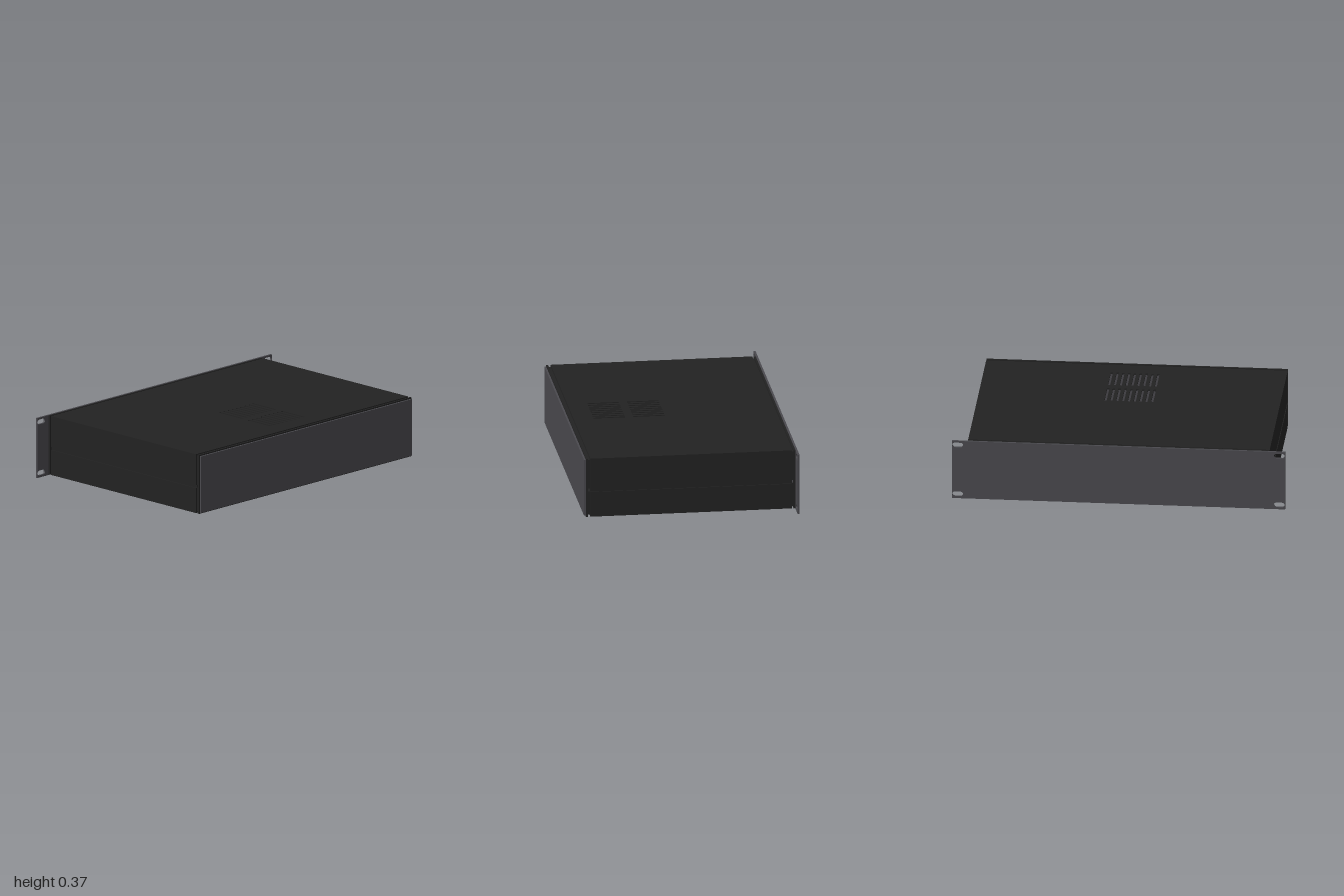
import * as THREE from 'three';

export function createModel() {
  const model = new THREE.Group();
  const black = new THREE.MeshStandardMaterial({ color: 0x222222 });
  black.name = 'black steel';
  const grey = new THREE.MeshStandardMaterial({ color: 0x4a494e });
  grey.name = 'grey panel';

  function add(name, geometry, material, parent = model) {
    const mesh = new THREE.Mesh(geometry, material);
    mesh.name = name;
    parent.add(mesh);
    return mesh;
  }
  // box given by its limits on each axis
  function box(name, [x0, x1], [y0, y1], [z0, z1], material = black, parent = model) {
    const mesh = add(name, new THREE.BoxGeometry(x1 - x0, y1 - y0, z1 - z0), material, parent);
    mesh.position.set((x0 + x1) / 2, (y0 + y1) / 2, (z0 + z1) / 2);
    return mesh;
  }
  function rectangle(Type, x0, x1, y0, y1) {
    return new Type([[x0, y0], [x1, y0], [x1, y1], [x0, y1]].map(p => new THREE.Vector2(...p)));
  }
  function slot(cx, cy, length, height) {
    const r = height / 2, h = length / 2 - r;
    const path = new THREE.Path();
    path.absarc(cx + h, cy, r, -Math.PI / 2, Math.PI / 2);
    path.absarc(cx - h, cy, r, Math.PI / 2, Math.PI * 1.5);
    path.closePath();
    return path;
  }
  const extrude = (shape, depth) =>
    new THREE.ExtrudeGeometry(shape, { depth, bevelEnabled: false, curveSegments: 8 });

  // top cover with two banks of ventilation slots
  const top = rectangle(THREE.Shape, -0.905, 0.905, -0.605, 0.612);
  for (const z of [0.15, 0.39]) {
    for (let i = 0; i < 9; i++) {
      const x = -0.14 + i * 0.035;
      top.holes.push(rectangle(THREE.Path, x - 0.007, x + 0.007, -z - 0.095, -z + 0.095));
    }
  }
  const cover = add('topCover', extrude(top, 0.01).rotateX(-Math.PI / 2), black);
  cover.position.y = 0.36;

  // base and the two halves of each side wall, with a recessed seam strip
  const bodyZ = [-0.612, 0.605];
  box('basePlate', [-0.905, 0.905], [0.005, 0.015], bodyZ);
  for (const side of [-1, 1]) {
    const span = (a, b) => (side > 0 ? [a, b] : [-b, -a]);
    box('upperSideWall', span(0.895, 0.905), [0.178, 0.36], bodyZ);
    box('lowerSideWall', span(0.895, 0.905), [0.015, 0.16], bodyZ);
    box('seamStrip', span(0.89, 0.898), [0.16, 0.178], bodyZ);
  }

  // inset flanges and outer lip at both ends, open at the side seams
  for (const end of [-1, 1]) {
    const frame = new THREE.Group();
    frame.name = 'endFrame';
    model.add(frame);
    const span = (a, b) => (end > 0 ? [a, b] : [-b, -a]);
    const neck = span(0.595, 0.625);
    box('upperFlange', [-0.893, 0.893], [0.35, 0.36], neck, black, frame);
    box('lowerFlange', [-0.893, 0.893], [0.015, 0.025], neck, black, frame);
    for (const [x0, x1] of [[-0.893, -0.883], [0.883, 0.893]]) {
      box('upperSideFlange', [x0, x1], [0.178, 0.35], neck, black, frame);
      box('lowerSideFlange', [x0, x1], [0.025, 0.16], neck, black, frame);
    }
    const lip = rectangle(THREE.Shape, -0.905, 0.905, 0.005, 0.37);
    lip.holes.push(rectangle(THREE.Path, -0.88, 0.88, 0.03, 0.345));
    const lipMesh = add('endLip', extrude(lip, 0.012), black, frame);
    lipMesh.position.z = span(0.62, 0.632)[0];
  }

  // plain closing panel
  box('plainPanel', [-0.9, 0.9], [0.012, 0.362], [0.632, 0.643], grey);

  // rack panel with mounting ears and oblong screw slots
  const rack = rectangle(THREE.Shape, -1, 1, 0, 0.371);
  for (const x of [-0.965, 0.965]) {
    for (const y of [0.028, 0.345]) rack.holes.push(slot(x, y, 0.064, 0.03));
  }
  const rackMesh = add('rackPanel', extrude(rack, 0.012), grey);
  rackMesh.position.z = -0.644;

  return model;
}
